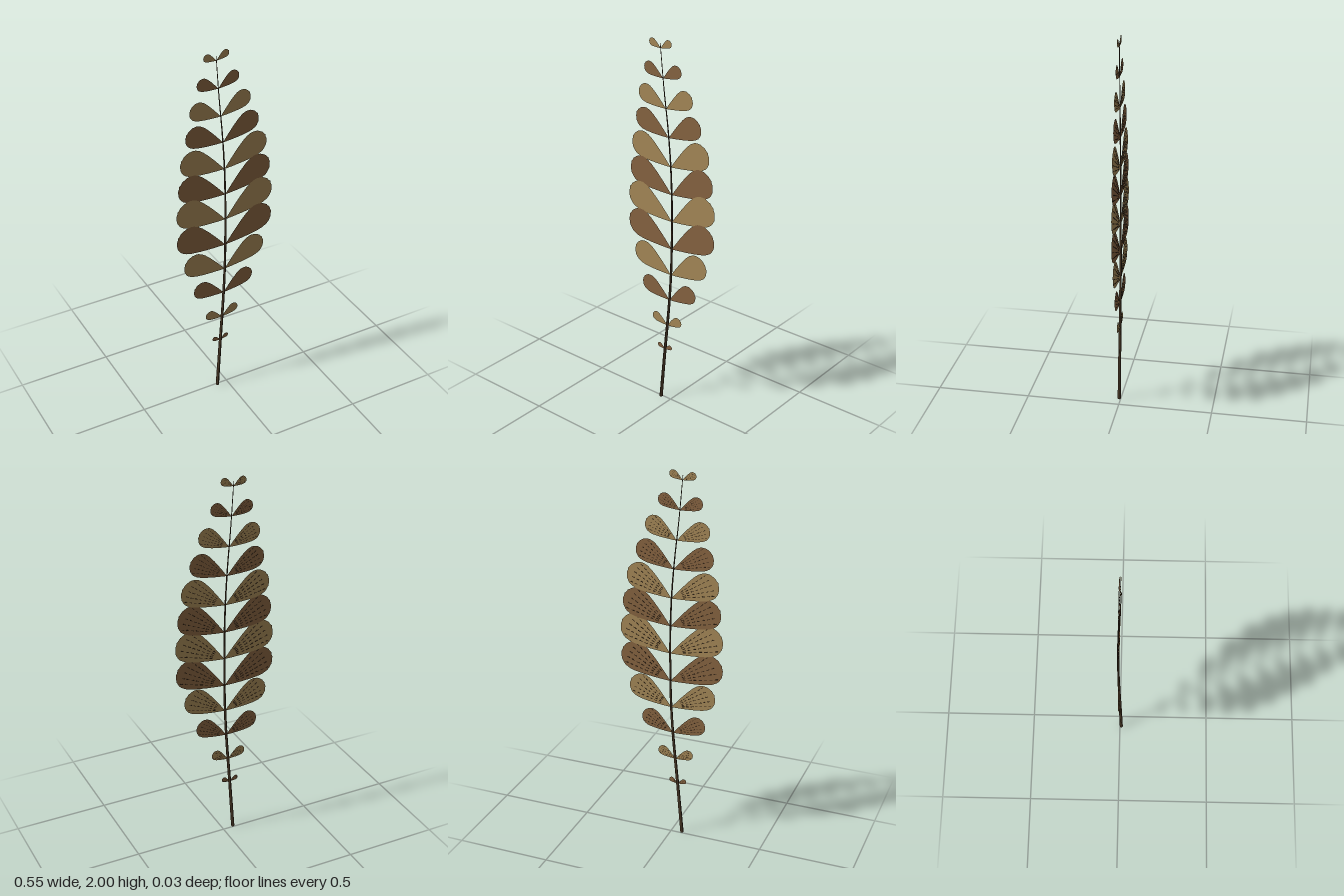
import * as THREE from 'three';
import { mergeGeometries } from 'three/addons/utils/BufferGeometryUtils.js';

const mat = (color, extra = {}) => new THREE.MeshStandardMaterial({ color, ...extra });

// Gently bowed stem line; depth follows the bow
const stemXY = [[-0.06, 0], [-0.037, 0.3], [-0.013, 0.6], [-0.003, 0.8], [0, 1], [0, 1.15],
  [-0.006, 1.35], [-0.02, 1.55], [-0.04, 1.75], [-0.058, 1.975]];
const stemCurve = new THREE.CatmullRomCurve3(
  stemXY.map(([x, y]) => new THREE.Vector3(x, y, -0.01 - 0.3 * x)));

// Six-sided tube narrowed towards the top
function stemGeometry() {
  const rings = 40, sides = 6;
  const geo = new THREE.TubeGeometry(stemCurve, rings, 1, sides);
  const pos = geo.attributes.position, v = new THREE.Vector3();
  for (let i = 0; i < pos.count; i++) {
    const t = Math.floor(i / (sides + 1)) / rings;
    const centre = stemCurve.getPointAt(t);
    v.fromBufferAttribute(pos, i).sub(centre).multiplyScalar(0.009 - 0.0075 * t).add(centre);
    pos.setXYZ(i, v.x, Math.max(0, v.y), v.z);
  }
  geo.computeVertexNormals();
  return geo;
}

// Unit leaflet along +x: narrow at the base, broad rounded end
function leafGeometry() {
  const half = [[0.15, 0.07], [0.3, 0.135], [0.45, 0.195], [0.6, 0.245], [0.7, 0.265],
    [0.79, 0.262], [0.84, 0.245], [0.91, 0.2], [0.94, 0.16], [0.98, 0.09], [0.985, 0.04]];
  const lower = half.map(([x, y]) => new THREE.Vector2(x, -y));
  const upper = half.map(([x, y]) => new THREE.Vector2(x, y)).reverse();
  return new THREE.ShapeGeometry(new THREE.Shape(
    [new THREE.Vector2(0, 0), ...lower, new THREE.Vector2(1, 0), ...upper]));
}

// Rows of small spore dashes fanning out over the underside
function sporeGeometry() {
  const dashes = [];
  for (let ray = -2; ray <= 2; ray++) {
    const angle = ray * 0.125;
    for (let r = 0.26; r < 0.92; r += 0.095) {
      const dash = new THREE.BoxGeometry(0.055, 0.012, 0.004);
      dash.translate(r, 0, -0.003);
      dash.rotateZ(angle);
      dashes.push(dash);
    }
  }
  return mergeGeometries(dashes);
}

export function createModel() {
  const frond = new THREE.Group();
  frond.name = 'frond';

  const stem = new THREE.Mesh(stemGeometry(), mat(0x4a3926));
  stem.name = 'stem';
  frond.add(stem);

  const leafGeo = leafGeometry(), sporeGeo = sporeGeometry();
  const leafMats = [0x8a6642, 0xa88b59].map(c => mat(c, { side: THREE.DoubleSide }));
  const sporeMat = mat(0x3a2a1a);

  // Leaflet lengths from the lowest pair to the tip
  const lengths = [0.052, 0.105, 0.19, 0.255, 0.3, 0.3, 0.285, 0.265, 0.222, 0.183, 0.125, 0.075];
  const samples = stemCurve.getSpacedPoints(400);
  lengths.forEach((len, i) => {
    const y = 0.3 + i * 0.15;
    const base = samples.reduce((a, b) => Math.abs(b.y - y) < Math.abs(a.y - y) ? b : a);
    for (const side of [1, -1]) {
      const leaflet = new THREE.Group();
      leaflet.name = side > 0 ? 'leftLeaflet' : 'rightLeaflet';
      const blade = new THREE.Mesh(leafGeo, leafMats[i % 2]);
      blade.name = 'blade';
      const spores = new THREE.Mesh(sporeGeo, sporeMat);
      spores.name = 'spores';
      leaflet.add(blade, spores);
      leaflet.position.copy(base);
      leaflet.scale.set(side * len, len, len);
      // Upper edges lean forward so each pair overlaps the next one up
      leaflet.rotation.set(0.025, 0.016, THREE.MathUtils.degToRad(side > 0 ? 30 : -25));
      frond.add(leaflet);
    }
  });
  return frond;
}
